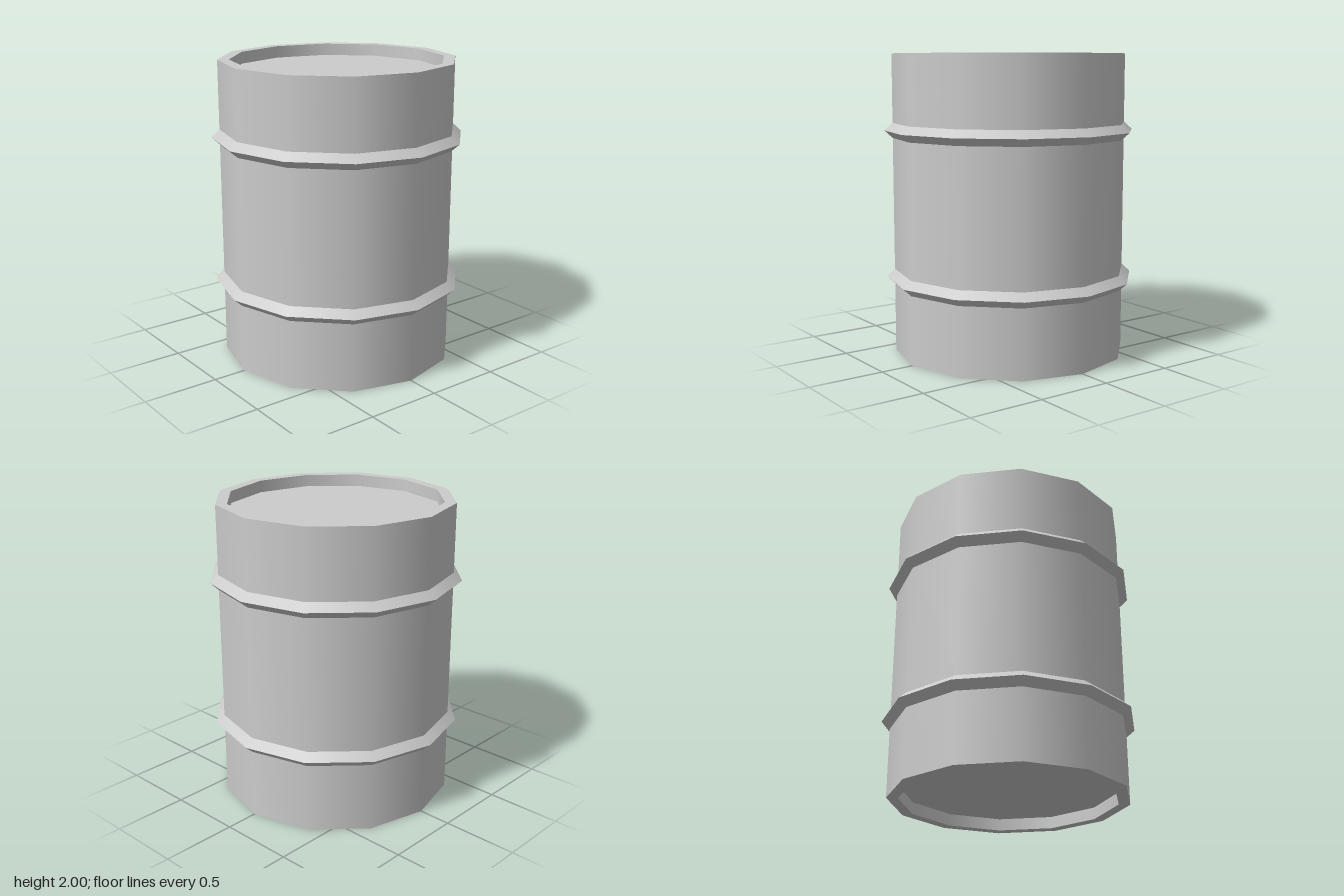
import * as THREE from 'three';

const SIDES = 12;
const BODY_R = 0.78, RIB_R = 0.835, LID_R = 0.705, HEIGHT = 2, RECESS = 0.08;

export function createModel() {
  const barrel = new THREE.Group();
  barrel.name = 'barrel';
  const material = new THREE.MeshStandardMaterial({ color: 0xcccccc });

  // One band of the barrel: smooth around, with a sharp edge to its neighbours
  function band(name, r0, y0, r1, y1) {
    const points = [new THREE.Vector2(r0, y0), new THREE.Vector2(r1, y1)];
    const mesh = new THREE.Mesh(new THREE.LatheGeometry(points, SIDES), material);
    mesh.name = name;
    barrel.add(mesh);
  }

  // Recessed bottom with its rim
  band('bottomPanel', 0, RECESS, LID_R, RECESS);
  band('bottomRimInside', LID_R, RECESS, LID_R, 0);
  band('bottomRim', LID_R, 0, BODY_R, 0);

  // Walls and the two pointed hoops, from the ground up
  let y = 0;
  for (const [name, low, mid, high] of [['lower', 0.46, 0.51, 0.56], ['upper', 1.445, 1.495, 1.545]]) {
    band(name + 'Wall', BODY_R, y, BODY_R, low);
    band(name + 'HoopUnderside', BODY_R, low, RIB_R, mid);
    band(name + 'HoopTop', RIB_R, mid, BODY_R, high);
    y = high;
  }
  band('topWall', BODY_R, y, BODY_R, HEIGHT);

  // Recessed lid with its rim
  band('topRim', BODY_R, HEIGHT, LID_R, HEIGHT);
  band('topRimInside', LID_R, HEIGHT, LID_R, HEIGHT - RECESS);
  band('lid', LID_R, HEIGHT - RECESS, 0, HEIGHT - RECESS);

  return barrel;
}
